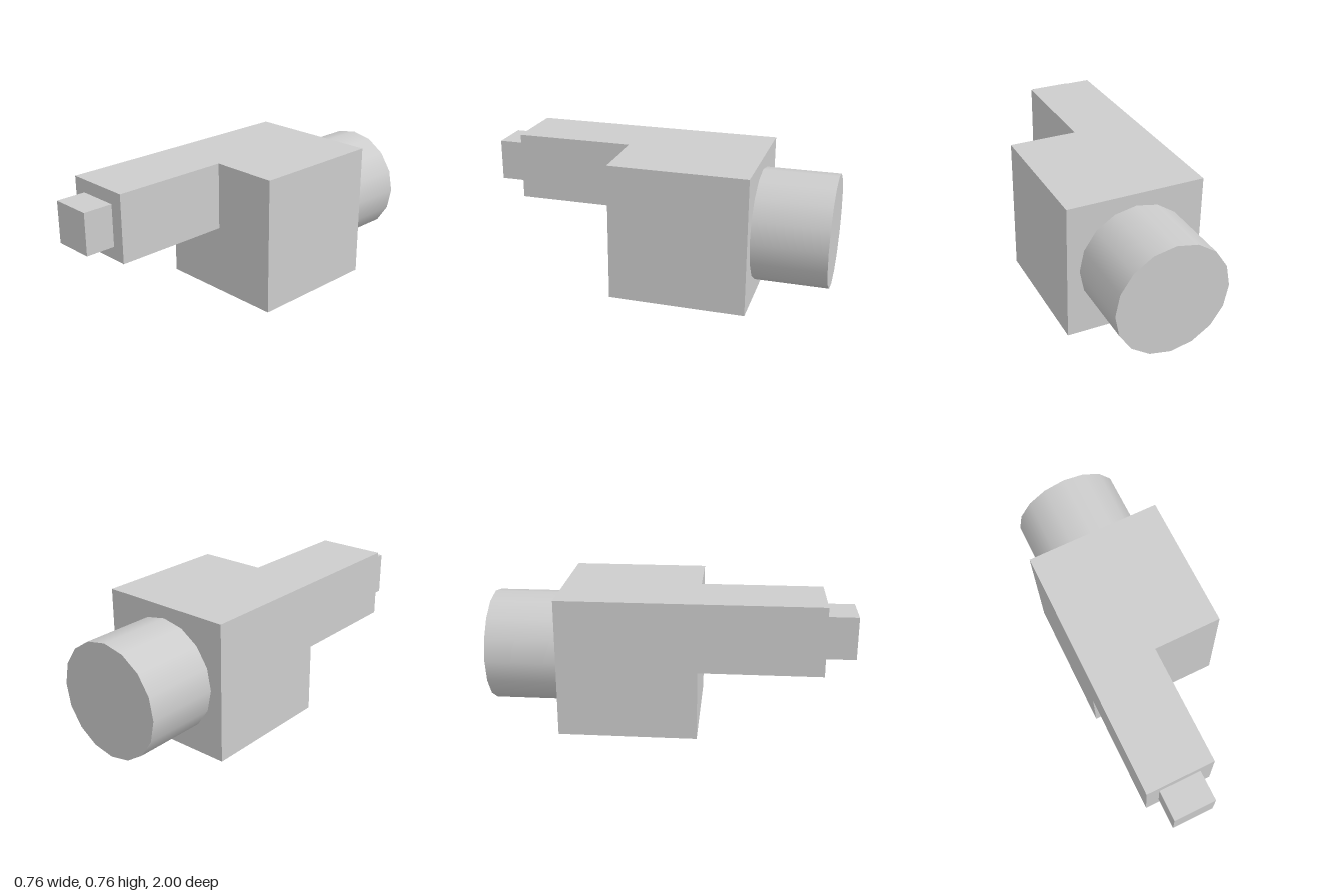
import * as THREE from 'three';

export function createModel() {
  const group = new THREE.Group();
  const grey = new THREE.MeshStandardMaterial({ color: 0xcccccc });
  grey.name = 'light grey';

  const add = (name, geometry, x, y, z) => {
    const mesh = new THREE.Mesh(geometry, grey);
    mesh.name = name;
    mesh.position.set(x, y, z);
    group.add(mesh);
  };
  // Box given by its lower and upper corners
  const box = (name, [x0, y0, z0], [x1, y1, z1]) =>
    add(name, new THREE.BoxGeometry(x1 - x0, y1 - y0, z1 - z0),
      (x0 + x1) / 2, (y0 + y1) / 2, (z0 + z1) / 2);

  // Cubic body with a half-width arm and a small tip on its upper right corner
  box('body', [-0.381, 0, -0.594], [0.381, 0.764, 0.168]);
  box('arm', [-0.381, 0.384, 0.168], [0, 0.764, 0.833]);
  box('tip', [-0.308, 0.457, 0.833], [-0.075, 0.691, 1]);

  // Round stub at the back
  const stub = new THREE.CylinderGeometry(0.312, 0.312, 0.406, 16).rotateX(Math.PI / 2);
  add('rearCylinder', stub, 0, 0.384, -0.797);

  return group;
}
